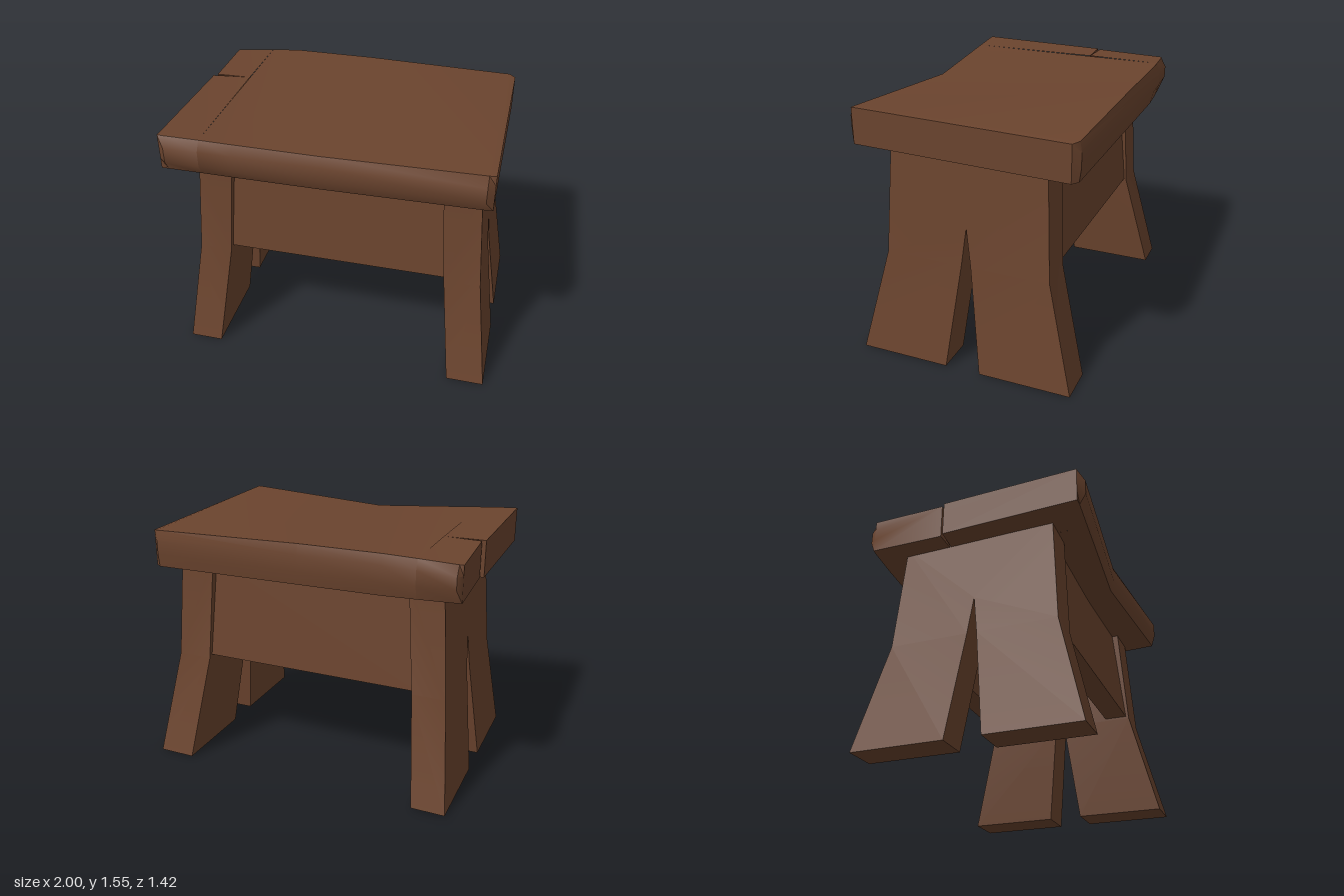
import * as THREE from 'three';
import { toCreasedNormals } from 'three/addons/utils/BufferGeometryUtils.js';

// Solid skinned over a row of matching convex cross-sections, with optional end caps
function loft(sections, startCap = true, endCap = true) {
  const n = sections[0].length;
  const pts = sections.flat();
  const tris = [];
  for (let s = 0; s < sections.length - 1; s++) {
    for (let i = 0; i < n; i++) {
      const a = s * n + i, b = s * n + (i + 1) % n;
      tris.push([a, b, b + n], [a, b + n, a + n]);
    }
  }
  const last = (sections.length - 1) * n;
  for (let i = 1; i < n - 1; i++) {
    if (startCap) tris.push([0, i + 1, i]);
    if (endCap) tris.push([last, last + i, last + i + 1]);
  }
  // Turn all faces outward, whichever way the sections run
  const v = pts.map((p) => new THREE.Vector3(...p));
  const centre = v.reduce((sum, p) => sum.add(p), new THREE.Vector3()).divideScalar(v.length);
  v.forEach((p) => p.sub(centre));
  const volume = tris.reduce((sum, [a, b, c]) => sum + v[a].dot(v[b].clone().cross(v[c])), 0);
  if (volume < 0) tris.forEach((t) => t.reverse());

  const geometry = new THREE.BufferGeometry();
  geometry.setAttribute('position', new THREE.Float32BufferAttribute(pts.flat(), 3));
  geometry.setIndex(tris.flat());
  return toCreasedNormals(geometry, 0.65);
}

// Seat slice from xf to xb: front and back edges [z, bulge, top y, bottom y]
function slice(xf, [zf, bf, tf, lf], [zb, bb, tb, lb], xb = xf) {
  return [
    [xf, tf, zf], [xf, tf - 0.06, zf + bf], [xf, lf + 0.065, zf + bf], [xf, lf, zf],
    [xb, lb, zb], [xb, lb + 0.08, zb - bb], [xb, tb - 0.06, zb - bb], [xb, tb, zb],
  ];
}

export function createModel() {
  const model = new THREE.Group();
  const wood = new THREE.MeshStandardMaterial({ color: 0x6b442e });
  wood.name = 'brown wood';

  const add = (name, geometry, parent = model) => {
    const mesh = new THREE.Mesh(geometry, wood);
    mesh.name = name;
    parent.add(mesh);
  };

  // Seat: dipped front edge, bulged long edges, a crack in one end
  const seat = new THREE.Group();
  seat.name = 'seat';
  model.add(seat);
  const frontAtCrack = [0.654, 0.037, 1.539, 1.319];
  const backAtCrack = [-0.677, 0.022, 1.532, 1.304];
  const crackTip = [-0.197, 0, 1.538, 1.31];
  add('seatMain', loft([
    slice(-0.75, frontAtCrack, backAtCrack),
    slice(-0.56, [0.64, 0.034, 1.528, 1.308], [-0.69, 0.02, 1.541, 1.303]),
    slice(-0.05, [0.6, 0.026, 1.5, 1.28], [-0.69, 0.016, 1.541, 1.3]),
    slice(0.895, [0.655, 0.034, 1.548, 1.328], [-0.688, 0.01, 1.522, 1.295]),
    slice(0.935, [0.655, 0, 1.55, 1.33], [-0.658, 0, 1.515, 1.295]),
  ], false, true), seat);
  add('seatFrontOfCrack', loft([
    slice(-0.995, [0.67, 0, 1.55, 1.33], [-0.178, 0, 1.534, 1.314]),
    slice(-0.95, [0.67, 0.039, 1.549, 1.33], [-0.182, 0, 1.535, 1.314]),
    slice(-0.75, frontAtCrack, crackTip),
  ], true, false), seat);
  add('seatBehindCrack', loft([
    slice(-0.975, [-0.199, 0, 1.534, 1.314], [-0.65, 0, 1.517, 1.305], -0.995),
    slice(-0.95, [-0.199, 0, 1.535, 1.314], [-0.655, 0.033, 1.518, 1.305], -0.97),
    slice(-0.75, crackTip, backAtCrack),
  ], true, false), seat);

  // Splayed end boards, each running up one foot, over a tall notch and down the other
  const bend = 0.66, top = 1.36, apex = 0.9;
  const ends = [
    { name: 'leftEnd', side: 1, outer: [0.996, 0.905, 0.855], inner: [0.763, 0.682, 0.632], shift: 0 },
    { name: 'rightEnd', side: -1, outer: [0.972, 0.897, 0.848], inner: [0.763, 0.69, 0.64], shift: 0.012 },
  ];
  for (const { name, side, outer, inner, shift } of ends) {
    const widthAt = (w, y) => (y <= bend
      ? THREE.MathUtils.mapLinear(y, 0, bend, w[0], w[1])
      : THREE.MathUtils.mapLinear(y, bend, top, w[1], w[2]));
    const corner = (w, y, z) => [side * widthAt(w, y) + 0.007 * z, y, z + shift];
    // Each row: edge y, edge z, notch y, notch z
    add(name, loft([
      [0, 0.658, 0, 0.09],
      [bend, 0.498, bend, 0.01],
      [top, 0.457, apex, -0.02],
      [top, -0.5, apex, -0.02],
      [bend, -0.535, bend, -0.05],
      [0, -0.702, 0, -0.13],
    ].map(([ey, ez, ny, nz]) => [
      corner(outer, ey, ez), corner(outer, ny, nz), corner(inner, ny, nz), corner(inner, ey, ez),
    ])));
  }

  // Rails between the end boards, leaning with their edges
  for (const [name, s, upper, lower] of [['frontRail', 1, 0.415, 0.478], ['backRail', -1, 0.452, 0.508]]) {
    add(name, loft([-0.73, 0.73].map((x) => [
      [x, 0.675, s * lower], [x, 1.35, s * upper],
      [x, 1.35, s * (upper - 0.15)], [x, 0.675, s * (lower - 0.15)],
    ])));
  }

  return model;
}
